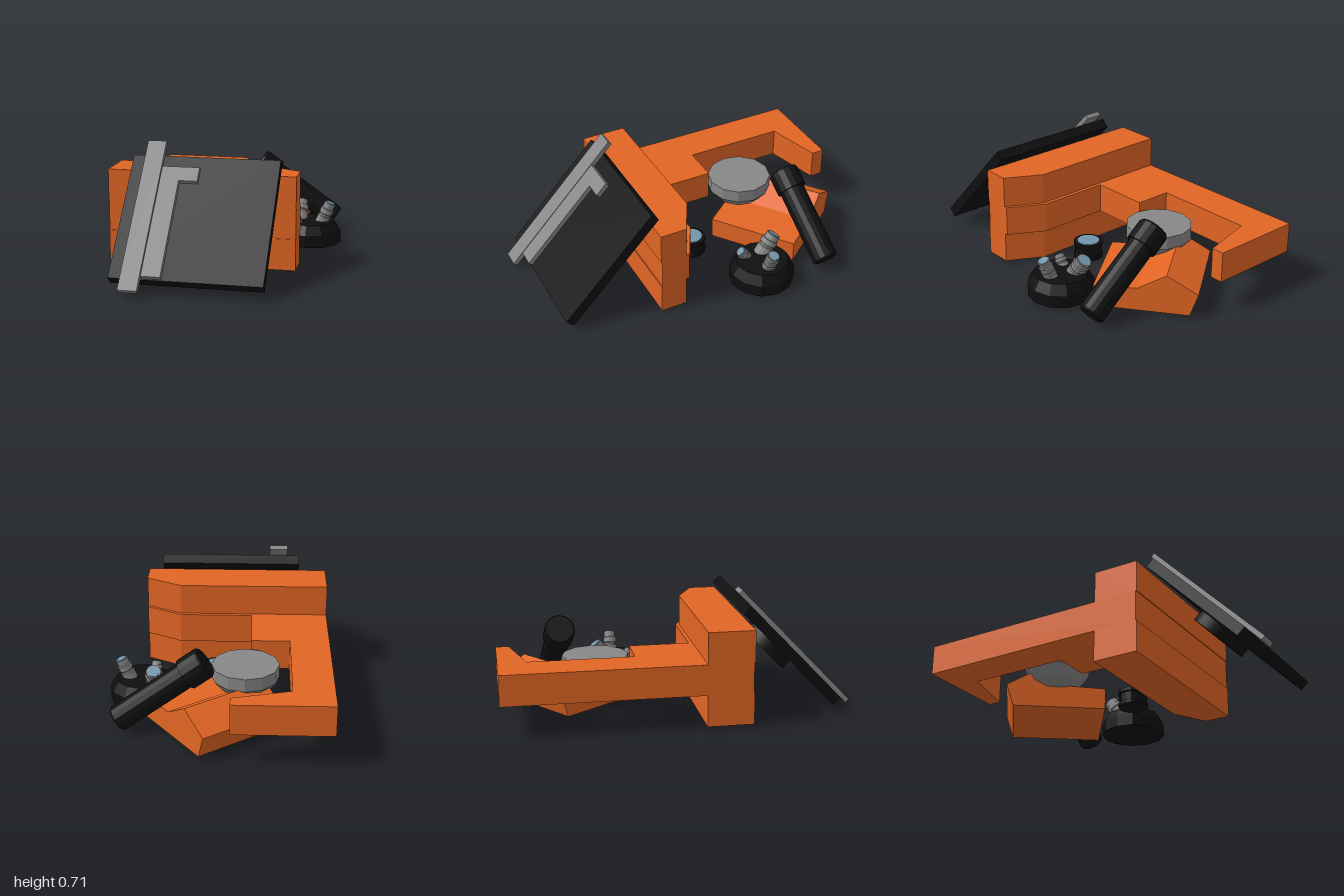
import * as THREE from 'three';

export function createModel() {
  const model = new THREE.Group();
  const material = (name, color) => {
    const m = new THREE.MeshStandardMaterial({ color });
    m.name = name;
    return m;
  };
  const orange = material('orange', 0xe26524);
  const black = material('black', 0x0f0f0f);
  const gray = material('gray', 0x878787);
  const glass = material('glass blue', 0x7195aa);

  const add = (name, geometry, mat, parent = model) => {
    const mesh = new THREE.Mesh(geometry, mat);
    mesh.name = name;
    parent.add(mesh);
    return mesh;
  };
  const polygon = (points) => new THREE.Shape(points.map(([x, y]) => new THREE.Vector2(x, y)));

  // Slab from an outline of [x, z] points between two heights
  const slab = (name, outline, y0, y1, mat) => {
    const geometry = new THREE.ExtrudeGeometry(polygon(outline.map(([x, z]) => [x, -z])),
      { depth: y1 - y0, bevelEnabled: false });
    geometry.rotateX(-Math.PI / 2);
    geometry.translate(0, y0, 0);
    return add(name, geometry, mat);
  };

  // Faceted turned part from [radius, height] points
  const turned = (name, profile, sides, mat, parent) => {
    const geometry = new THREE.LatheGeometry(profile.map(([r, y]) => new THREE.Vector2(r, y)), sides)
      .toNonIndexed();
    geometry.computeVertexNormals();
    return add(name, geometry, mat, parent);
  };

  // Group whose y axis runs from one point towards another
  const along = (name, from, to) => {
    const group = new THREE.Group();
    group.name = name;
    group.position.set(...from);
    const dir = new THREE.Vector3(...to).sub(group.position);
    group.quaternion.setFromUnitVectors(new THREE.Vector3(0, 1, 0), dir.clone().normalize());
    group.userData.length = dir.length();
    model.add(group);
    return group;
  };

  // Arm: a hooked middle slab between two thicker blocks
  slab('armHook', [
    [-0.63, 0.38], [0.445, 0.38], [0.445, 0.21], [0.24, 0.1], [-0.185, 0.1], [-0.185, -0.245],
    [-0.405, -0.245], [-0.405, -0.84], [-0.08, -0.925], [-0.08, -1], [-0.63, -1],
  ], 0.19, 0.365, orange);
  const block = [[-0.63, 0.385], [0.445, 0.385], [0.445, 0.23], [0.24, 0.122], [-0.63, 0.122]];
  slab('armLowerBlock', block, 0.01, 0.19, orange);
  slab('armUpperBlock', block, 0.365, 0.545, orange);

  // Wedge shaped foot, turned on the ground
  const foot = add('foot', new THREE.ExtrudeGeometry(polygon([
    [0.044, 0.015], [0.579, 0.015], [0.579, 0.14], [0.335, 0.15], [0.175, 0.245], [0, 0.145],
  ]), { depth: 0.536, bevelEnabled: false }), orange);
  foot.position.set(0.06, 0, -0.97);
  foot.rotation.y = -0.932;

  // Round lamp bowl resting on the foot
  turned('lampBowl', [
    [0, 0.135], [0.08, 0.145], [0.14, 0.18], [0.19, 0.24], [0.19, 0.315], [0, 0.315],
  ], 12, gray).position.set(-0.155, 0, -0.44);

  // Eyepiece tube with a wider cap
  const tube = along('eyepiece', [0.545, 0.07, -0.646], [0.06, 0.418, -0.62]);
  const h = tube.userData.length;
  turned('eyepieceTube', [[0, 0], [0.068, 0], [0.075, 0.012], [0.075, h - 0.13], [0, h - 0.13]], 16, black, tube);
  turned('eyepieceCap', [
    [0, h - 0.13], [0.09, h - 0.13], [0.09, h - 0.012], [0.082, h], [0, h],
  ], 16, black, tube);

  // Nosepiece turret
  turned('nosepiece', [
    [0, 0.012], [0.19, 0.012], [0.19, 0.085], [0.155, 0.14], [0, 0.14],
  ], 12, black).position.set(0.435, 0, -0.27);

  // Three objectives leaning outwards: base, tip, radius
  [
    [[0.368, 0.11, -0.3], [0.365, 0.23, -0.385], 0.05],
    [[0.5, 0.11, -0.27], [0.559, 0.25, -0.27], 0.04],
    [[0.367, 0.11, -0.215], [0.365, 0.182, -0.167], 0.034],
  ].forEach(([base, tip, r]) => {
    const objective = along('objective', base, tip);
    const l = objective.userData.length;
    turned('objectiveBarrel', [
      [0, 0], [r, 0], [r, 0.42 * l], [0.85 * r, 0.45 * l], [0.85 * r, 0.52 * l], [r, 0.55 * l],
      [r, 0.75 * l], [0.85 * r, 0.78 * l], [0.85 * r, l], [0, l],
    ], 14, gray, objective);
    turned('objectiveLens', [[0.7 * r, l], [0.7 * r, l + 0.004], [0, l + 0.004]], 14, glass, objective);
  });

  // Loose lens in a grooved ring
  const lens = new THREE.Group();
  lens.name = 'looseLens';
  lens.position.set(0.017, 0, -0.02);
  model.add(lens);
  turned('lensRing', [
    [0, 0.002], [0.087, 0.002], [0.087, 0.022], [0.08, 0.026], [0.08, 0.074], [0.087, 0.078],
    [0.087, 0.1], [0, 0.1],
  ], 16, black, lens);
  turned('lensGlass', [[0.066, 0.1], [0.066, 0.104], [0, 0.104]], 16, glass, lens);

  // Tilted stage plate with a round mount below
  const stage = new THREE.Group();
  stage.name = 'stage';
  stage.position.set(-0.055, 0.338, 0.643);
  stage.rotation.x = THREE.MathUtils.degToRad(-43.75);
  model.add(stage);
  add('stagePlate', new THREE.BoxGeometry(0.83, 0.769, 0.06), black, stage);
  const mount = add('stageMount', new THREE.CylinderGeometry(0.17, 0.17, 0.065, 24), black, stage);
  mount.rotation.x = Math.PI / 2;
  mount.position.z = -0.062;

  // Long slide and the hooked clip beside it
  const slide = add('slide', new THREE.BoxGeometry(0.105, 0.931, 0.028), gray, stage);
  slide.position.set(-0.289, 0, 0.044);
  const clip = add('clip', new THREE.ExtrudeGeometry(polygon([
    [-0.232, -0.378], [-0.126, -0.378], [-0.126, 0.212], [-0.022, 0.212], [-0.022, 0.3], [-0.232, 0.3],
  ]), { depth: 0.028, bevelEnabled: false }), gray, stage);
  clip.position.z = 0.03;

  return model;
}
